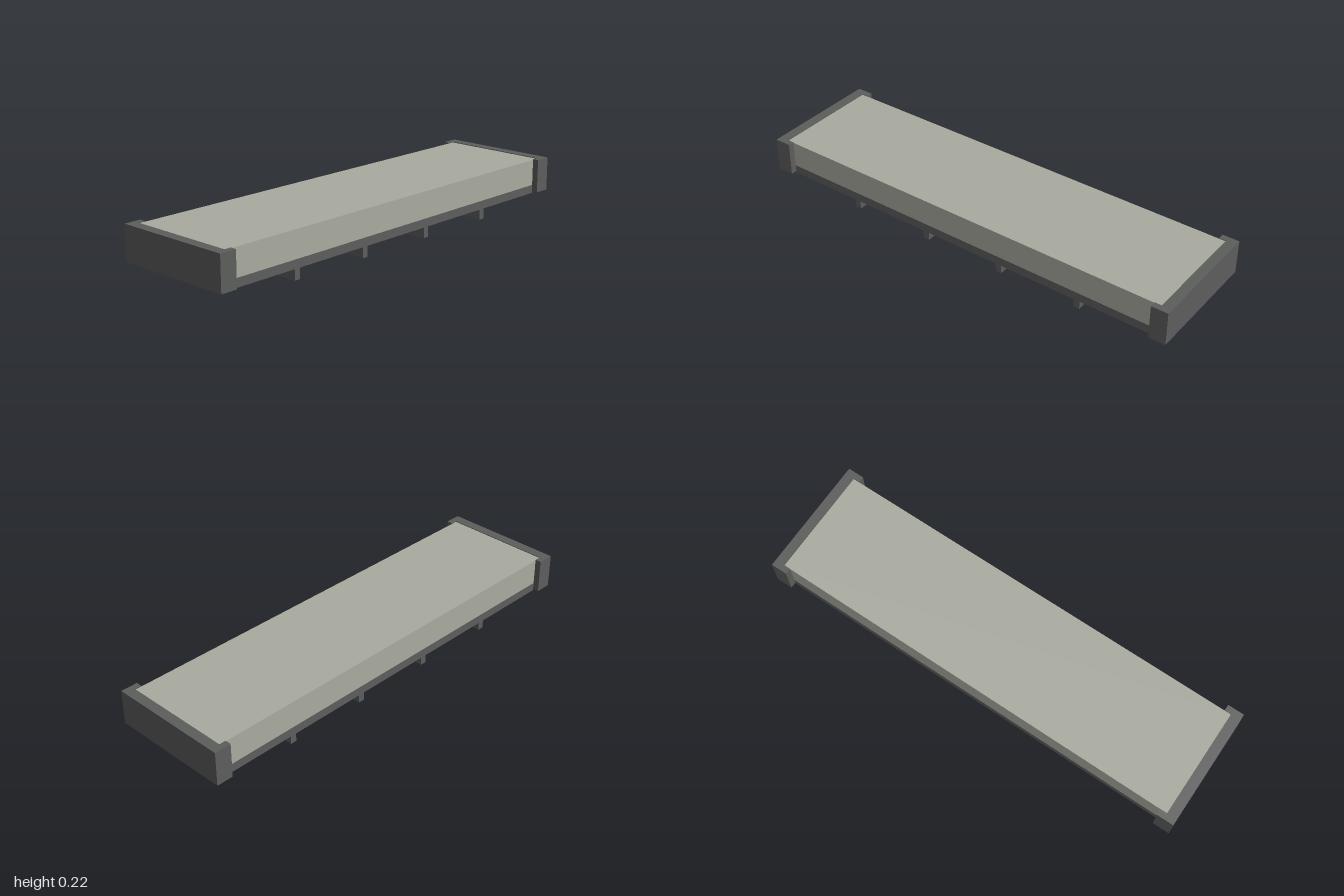
import * as THREE from 'three';

export function createModel() {
  const model = new THREE.Group();
  const concrete = new THREE.MeshStandardMaterial({ color: 0xa9aa9f });
  concrete.name = 'pale concrete';
  const steel = new THREE.MeshStandardMaterial({ color: 0x5c5e5c });
  steel.name = 'dark steel';

  // Box given by its minimum and maximum corners
  function box(name, material, x0, x1, y0, y1, z0, z1) {
    const mesh = new THREE.Mesh(new THREE.BoxGeometry(x1 - x0, y1 - y0, z1 - z0), material);
    mesh.position.set((x0 + x1) / 2, (y0 + y1) / 2, (z0 + z1) / 2);
    mesh.name = name;
    model.add(mesh);
  }

  // Deck slab
  box('deck', concrete, -0.955, 0.955, 0.093, 0.212, -0.248, 0.248);

  // Edge rails and long bearers, front and back
  for (const s of [-1, 1]) {
    const z = (a, b) => (s > 0 ? [a, b] : [-b, -a]);
    box('edgeRail', steel, -0.925, 0.925, 0.055, 0.093, ...z(0.222, 0.248));
    box('bearer', concrete, -0.885, 0.885, 0.025, 0.093, ...z(0.087, 0.162));
  }

  // End caps with short returns wrapping the deck corners
  for (const s of [-1, 1]) {
    const x = (a, b) => (s > 0 ? [a, b] : [-b, -a]);
    box('endPlate', steel, ...x(0.955, 1), 0.062, 0.215, -0.276, 0.276);
    box('endSill', steel, ...x(0.925, 0.955), 0.062, 0.093, -0.248, 0.248);
    box('capReturnFront', steel, ...x(0.925, 0.955), 0.062, 0.215, 0.248, 0.276);
    box('capReturnBack', steel, ...x(0.925, 0.955), 0.062, 0.215, -0.276, -0.248);
  }

  // Cross beams beneath the deck
  for (const x of [-0.575, -0.192, 0.188, 0.571]) {
    box('crossBeam', steel, x - 0.014, x + 0.014, 0, 0.062, -0.23, 0.23);
  }

  return model;
}
